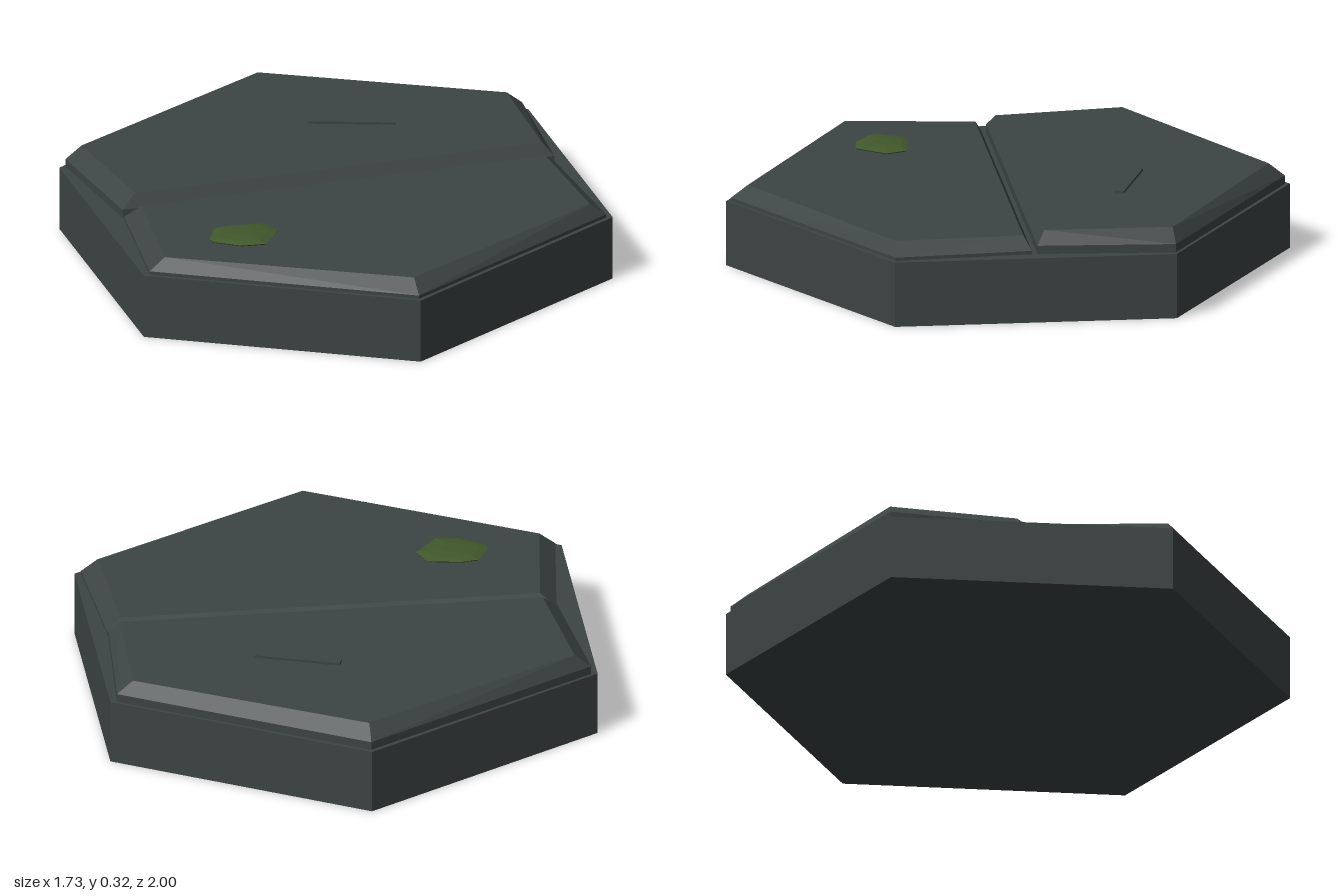
import * as THREE from 'three';
import { ConvexGeometry } from 'three/addons/geometries/ConvexGeometry.js';

// Convex solid stacked from horizontal outlines: [y, [[x, z], ...]]
function stack(layers) {
  return new ConvexGeometry(
    layers.flatMap(([y, outline]) => outline.map(([x, z]) => new THREE.Vector3(x, y, z)))
  );
}

export function createModel() {
  const group = new THREE.Group();
  const stone = new THREE.MeshStandardMaterial({ name: 'dark stone', color: 0x3d4444 });
  const moss = new THREE.MeshStandardMaterial({ name: 'moss green', color: 0x41582b });
  const add = (name, geometry, material) => {
    const mesh = new THREE.Mesh(geometry, material);
    mesh.name = name;
    group.add(mesh);
    return mesh;
  };

  // Hexagonal base with points towards front and back
  const base = new THREE.CylinderGeometry(1, 1, 0.235, 6).toNonIndexed();
  base.computeVertexNormals();
  add('hexBase', base, stone).position.y = 0.1175;

  // Two bevelled half slabs separated by a narrow groove
  const slab = (outer, inner, shoulder, top) =>
    stack([[0.23, outer], [shoulder, outer], [top, inner]]);

  add('frontSlab', slab(
    [[-0.785, 0.008], [0.81, 0.008], [0.843, 0.495], [0, 0.983], [-0.843, 0.495]],
    [[-0.73, 0.033], [0.762, 0.033], [0.785, 0.49], [0, 0.923], [-0.785, 0.49]],
    0.247, 0.292), stone);

  add('backSlab', slab(
    [[-0.785, -0.012], [0.81, -0.012], [0.843, -0.5], [0, -0.983], [-0.843, -0.5]],
    [[-0.73, -0.04], [0.773, -0.04], [0.785, -0.495], [0, -0.925], [-0.785, -0.495]],
    0.265, 0.312), stone);

  // Thin raised scratch on the back slab
  const scratch = add('scratch', new THREE.BoxGeometry(0.307, 0.016, 0.036), stone);
  scratch.position.set(0.186, 0.313, -0.406);
  scratch.rotation.y = -0.335;

  // Low faceted moss patch on the front slab
  const rim = [[-0.127, 0], [-0.08, -0.085], [-0.02, -0.095], [0.1, -0.075],
    [0.13, 0], [0.05, 0.1], [-0.035, 0.09], [-0.12, 0.03]];
  const patch = (s) => rim.map(([x, z]) => [x * s, z * s]);
  add('mossPatch', stack([[0, patch(0.95)], [0.008, patch(1)], [0.015, patch(0.75)], [0.019, patch(0.35)]]), moss)
    .position.set(-0.465, 0.288, 0.393);

  return group;
}
